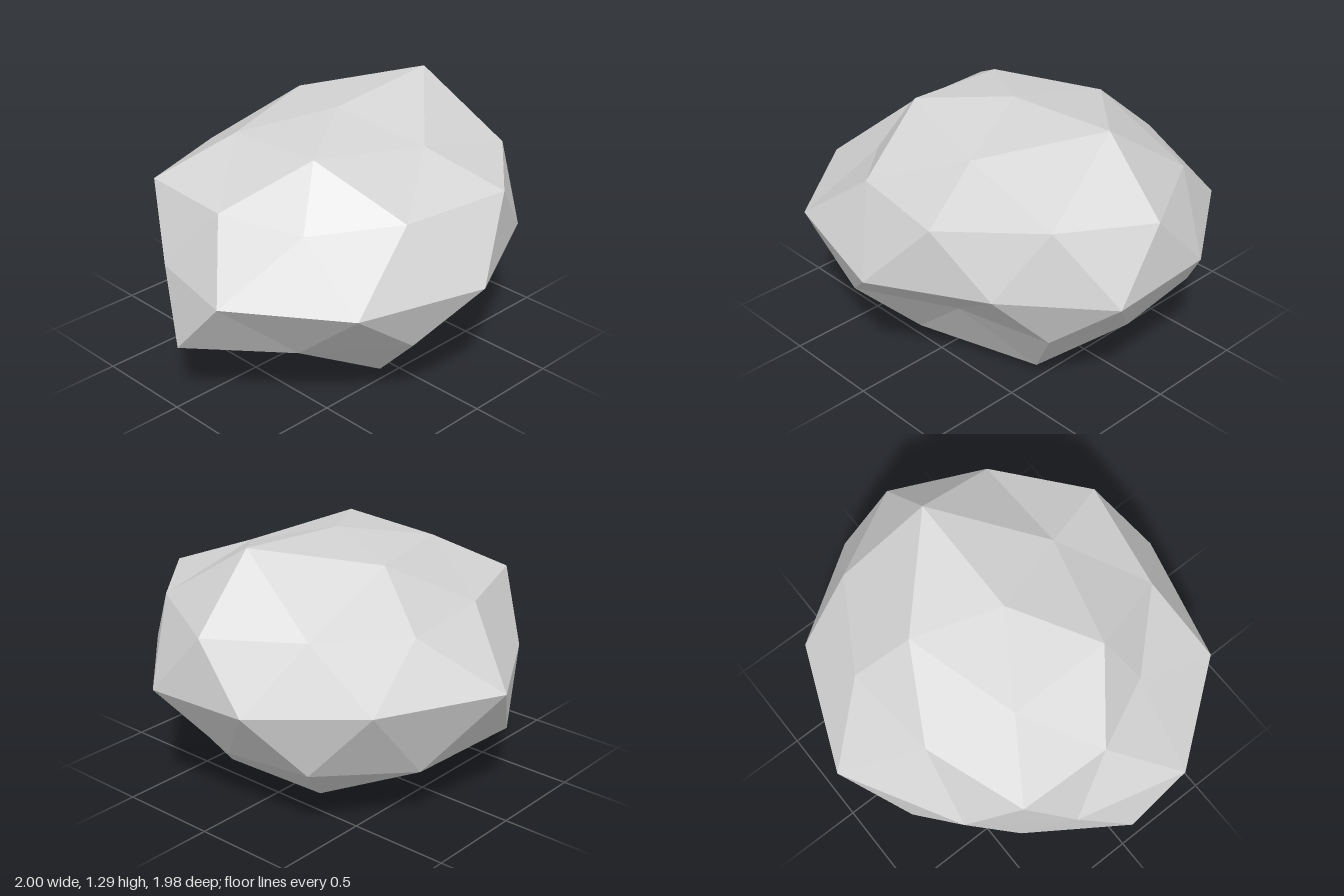
import * as THREE from 'three';

// Rings of the boulder: start azimuth, step (degrees), then [radius, height] around it
const RINGS = {
  crown: [0, 72, [[0.613, 1.29], [0.505, 1.12], [0.507, 1.175], [0.51, 1.152], [0.515, 1.185]]],
  upper: [0, 72, [[0.93, 0.95], [0.957, 0.97], [0.715, 0.885], [0.925, 0.95], [0.83, 0.93]]],
  upperMid: [36, 72, [[0.872, 0.987], [0.84, 0.955], [0.76, 0.935], [0.783, 0.95], [0.853, 0.97]]],
  belt: [18, 36, [[1.02, 0.63], [0.963, 0.665], [1.085, 0.63], [1.11, 0.65], [1.085, 0.66],
    [0.93, 0.62], [0.975, 0.635], [1.16, 0.66], [1.065, 0.68], [1.01, 0.648]]],
  lowerMid: [0, 72, [[0.77, 0.32], [0.67, 0.4], [0.82, 0.34], [0.88, 0.295], [0.9, 0.285]]],
  lower: [36, 72, [[0.835, 0.38], [0.94, 0.378], [1.03, 0.34], [0.985, 0.318], [0.91, 0.345]]],
  base: [36, 72, [[0.57, 0.067], [0.57, 0.063], [0.45, 0.17], [0.526, 0.118], [0.56, 0.08]]],
};
const CENTRE = 0.03; // x and z of the boulder's axis
const DEPTH = 0.88;  // z is squashed a little

function ringPoints([start, step, points]) {
  return points.map(([radius, y], i) => {
    const a = THREE.MathUtils.degToRad(start + step * i);
    return [CENTRE + radius * Math.cos(a), y, CENTRE + DEPTH * radius * Math.sin(a)];
  });
}

export function createModel() {
  const ring = {};
  for (const name in RINGS) ring[name] = ringPoints(RINGS[name]);
  const { crown, upper, upperMid, belt, lowerMid, lower, base } = ring;
  const top = [CENTRE, 1.24, CENTRE];
  const bottom = [CENTRE, 0, CENTRE];

  const positions = [];
  const tri = (a, b, c) => positions.push(...a, ...b, ...c);

  // Five equal sectors of a once-divided icosahedron
  for (let k = 0; k < 5; k++) {
    const n = (k + 1) % 5, p = (k + 4) % 5;
    const b0 = belt[2 * k], b1 = belt[2 * k + 1], bPrev = belt[2 * p + 1];
    const m = upperMid[k], lm = lowerMid[k];
    // cap
    tri(top, crown[n], crown[k]);
    tri(crown[k], m, upper[k]);
    tri(crown[k], crown[n], m);
    tri(crown[n], upper[n], m);
    // downward pointing side
    tri(upper[k], m, b0);
    tri(m, upper[n], b1);
    tri(m, b1, b0);
    tri(b0, b1, lower[k]);
    // upward pointing side
    tri(upper[k], b0, bPrev);
    tri(b0, lower[k], lm);
    tri(bPrev, lm, lower[p]);
    tri(bPrev, b0, lm);
    // underside
    tri(lm, lower[k], base[k]);
    tri(lm, base[k], base[p]);
    tri(lm, base[p], lower[p]);
    tri(bottom, base[p], base[k]);
  }

  const geometry = new THREE.BufferGeometry();
  geometry.setAttribute('position', new THREE.Float32BufferAttribute(positions, 3));
  geometry.computeVertexNormals();

  const stone = new THREE.MeshStandardMaterial({ color: 0xd4d4d4, flatShading: true });
  stone.name = 'pale grey stone';
  const boulder = new THREE.Mesh(geometry, stone);
  boulder.name = 'boulder';

  const group = new THREE.Group();
  group.name = 'rock';
  group.add(boulder);
  return group;
}
